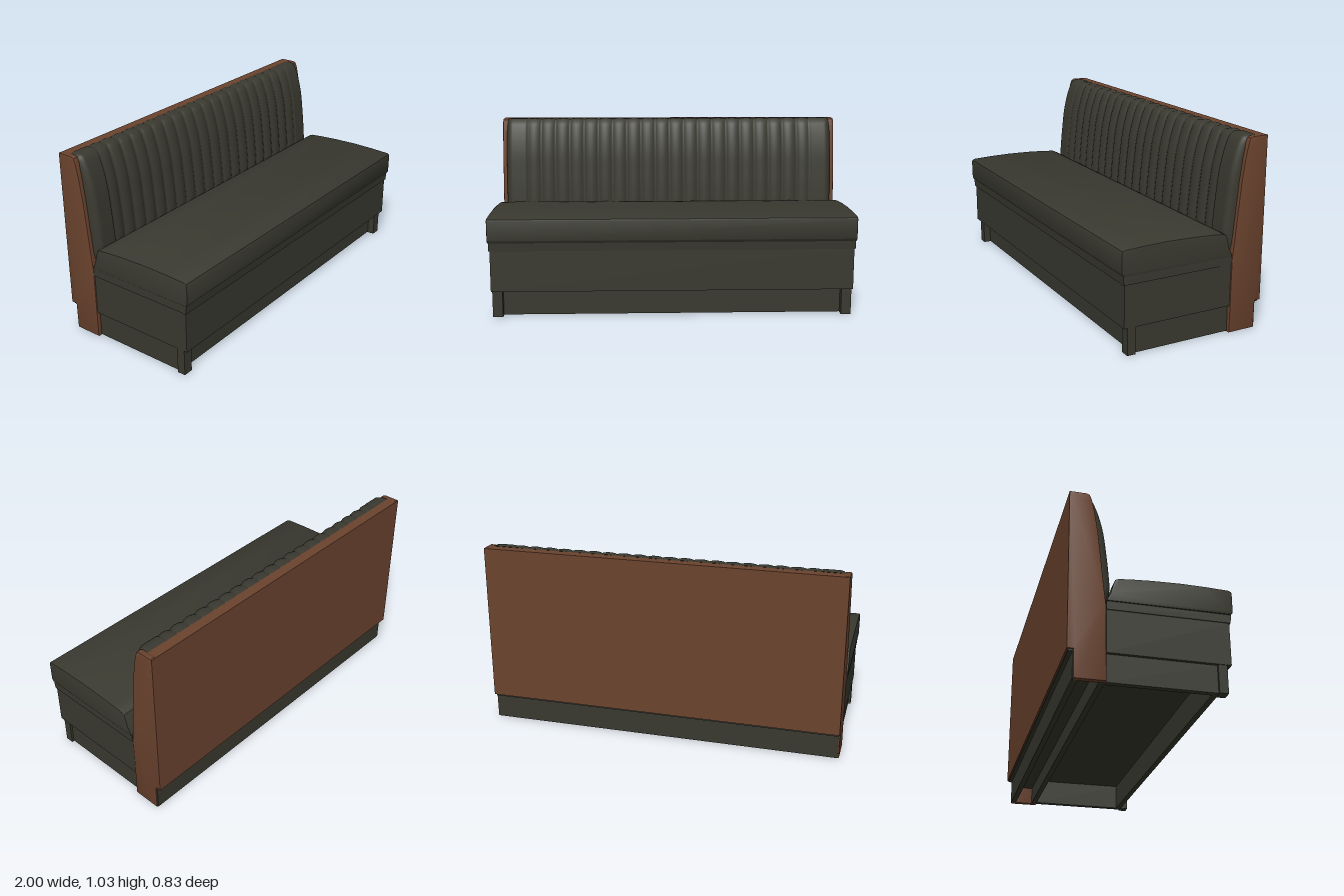
import * as THREE from 'three';
import { toCreasedNormals } from 'three/addons/utils/BufferGeometryUtils.js';

export function createModel() {
  const model = new THREE.Group();
  model.name = 'boothBench';
  const vinyl = new THREE.MeshStandardMaterial({ color: 0x393930 });
  vinyl.name = 'dark vinyl';
  const wood = new THREE.MeshStandardMaterial({ color: 0x6b432e });
  wood.name = 'brown wood';

  const add = (name, geometry, material) => {
    const mesh = new THREE.Mesh(geometry, material);
    mesh.name = name;
    model.add(mesh);
    return mesh;
  };

  // Box given by its limits on each axis
  const box = (name, [x0, x1], [y0, y1], [z0, z1], material) => {
    const geometry = new THREE.BoxGeometry(x1 - x0, y1 - y0, z1 - z0);
    geometry.translate((x0 + x1) / 2, (y0 + y1) / 2, (z0 + z1) / 2);
    return add(name, geometry, material);
  };

  // Side profile of [z, y] points, swept along x
  const sweep = (name, points, x0, x1, bevel, material) => {
    const shape = new THREE.Shape(points.map(([z, y]) => new THREE.Vector2(z, y)));
    const depth = x1 - x0 - 2 * bevel;
    const geometry = new THREE.ExtrudeGeometry(shape, {
      depth, bevelEnabled: bevel > 0, bevelSize: bevel,
      bevelThickness: bevel, bevelOffset: -bevel, bevelSegments: 2,
    });
    geometry.translate(0, 0, -depth / 2);
    geometry.rotateY(-Math.PI / 2);
    geometry.translate((x0 + x1) / 2, 0, 0);
    return add(name, toCreasedNormals(geometry, 0.6), material);
  };

  // Seat: crowned cushion, skirt below it and apron
  sweep('seatCushion', [
    [-0.222, 0.42], [0.402, 0.42], [0.412, 0.435], [0.413, 0.54], [0.409, 0.55],
    [0.395, 0.556], [0.28, 0.561], [0.15, 0.563], [0, 0.559], [-0.1, 0.553],
    [-0.165, 0.547], [-0.182, 0.54], [-0.192, 0.515], [-0.205, 0.465], [-0.222, 0.43],
  ], -1, 1, 0.006, vinyl);
  sweep('seatSkirt', [[-0.225, 0.375], [0.398, 0.375], [0.402, 0.42], [-0.225, 0.42]],
    -0.994, 0.994, 0, vinyl);
  box('apron', [-0.989, 0.989], [0.148, 0.375], [-0.225, 0.392], vinyl);

  // Hollow plinth with a post at each front corner
  box('frontPlinth', [-0.97, 0.97], [0.003, 0.148], [0.3, 0.33], vinyl);
  box('rearPlinth', [-0.97, 0.97], [0.003, 0.148], [-0.255, -0.225], vinyl);
  for (const side of [-1, 1]) {
    const span = (a, b) => (side < 0 ? [-b, -a] : [a, b]);
    box('sidePlinth', span(0.94, 0.972), [0.003, 0.148], [-0.225, 0.325], vinyl);
    box('frontPost', span(0.93, 0.985), [0, 0.148], [0.325, 0.371], vinyl);

    // Curved side panel of the back
    const [x0, x1] = span(0.962, 0.994);
    sweep('backSidePanel', [
      [-0.225, 0], [-0.38, 0], [-0.382, 0.148], [-0.408, 0.152], [-0.412, 1.015],
      [-0.405, 1.025], [-0.325, 1.025], [-0.31, 1.018], [-0.299, 0.99], [-0.283, 0.91],
      [-0.267, 0.8], [-0.252, 0.65], [-0.238, 0.5], [-0.227, 0.4],
    ].reverse(), x0, x1, 0.004, wood);
  }

  // Back panel, its kickboard and the core above the floor gap
  box('backPanel', [-0.993, 0.993], [0.15, 1.024], [-0.413, -0.355], wood);
  box('backTrim', [-0.985, 0.985], [0.14, 0.15], [-0.405, -0.38], vinyl);
  box('backKickboard', [-0.987, 0.987], [0.002, 0.15], [-0.385, -0.355], vinyl);
  box('backCore', [-0.962, 0.962], [0.1, 0.44], [-0.356, -0.226], vinyl);

  // Fluted back cushion: a sheet bent along a profile, with channels across it
  const profile = new THREE.CatmullRomCurve3([
    [0.42, -0.222], [0.5, -0.198], [0.6, -0.202], [0.72, -0.214], [0.83, -0.228],
    [0.92, -0.249], [0.985, -0.272], [1.017, -0.29], [1.028, -0.315], [1.027, -0.36],
  ].map(([y, z]) => new THREE.Vector3(0, y, z)));
  const sheet = new THREE.PlaneGeometry(1.955, 1, 230, 28);
  const position = sheet.attributes.position;
  const point = new THREE.Vector3();
  for (let i = 0; i < position.count; i++) {
    const x = position.getX(i);
    const v = THREE.MathUtils.clamp(position.getY(i) + 0.5, 0, 1);
    profile.getPointAt(v, point);
    const channel = Math.abs(x) < 0.85
      ? Math.pow(Math.abs(Math.sin(Math.PI * (x + 0.85) / 0.085)), 0.7) : 1;
    const groove = 0.015 * (1 - channel) * Math.min(1, v * 6);
    // Rounded ends tuck back behind the side panels
    const edge = Math.max(0, (Math.abs(x) - 0.935) / 0.0425);
    const tuck = 0.075 * (1 - Math.sqrt(Math.max(0, 1 - edge * edge)));
    const top = THREE.MathUtils.smoothstep(v, 0.85, 0.95);
    position.setXYZ(i, x,
      point.y - top * (groove * 0.4 + tuck * 0.3),
      Math.max(-0.36, point.z - (1 - top * 0.7) * groove - tuck));
  }
  sheet.computeVertexNormals();
  vinyl.side = THREE.DoubleSide;
  add('flutedBackCushion', sheet, vinyl);

  return model;
}
